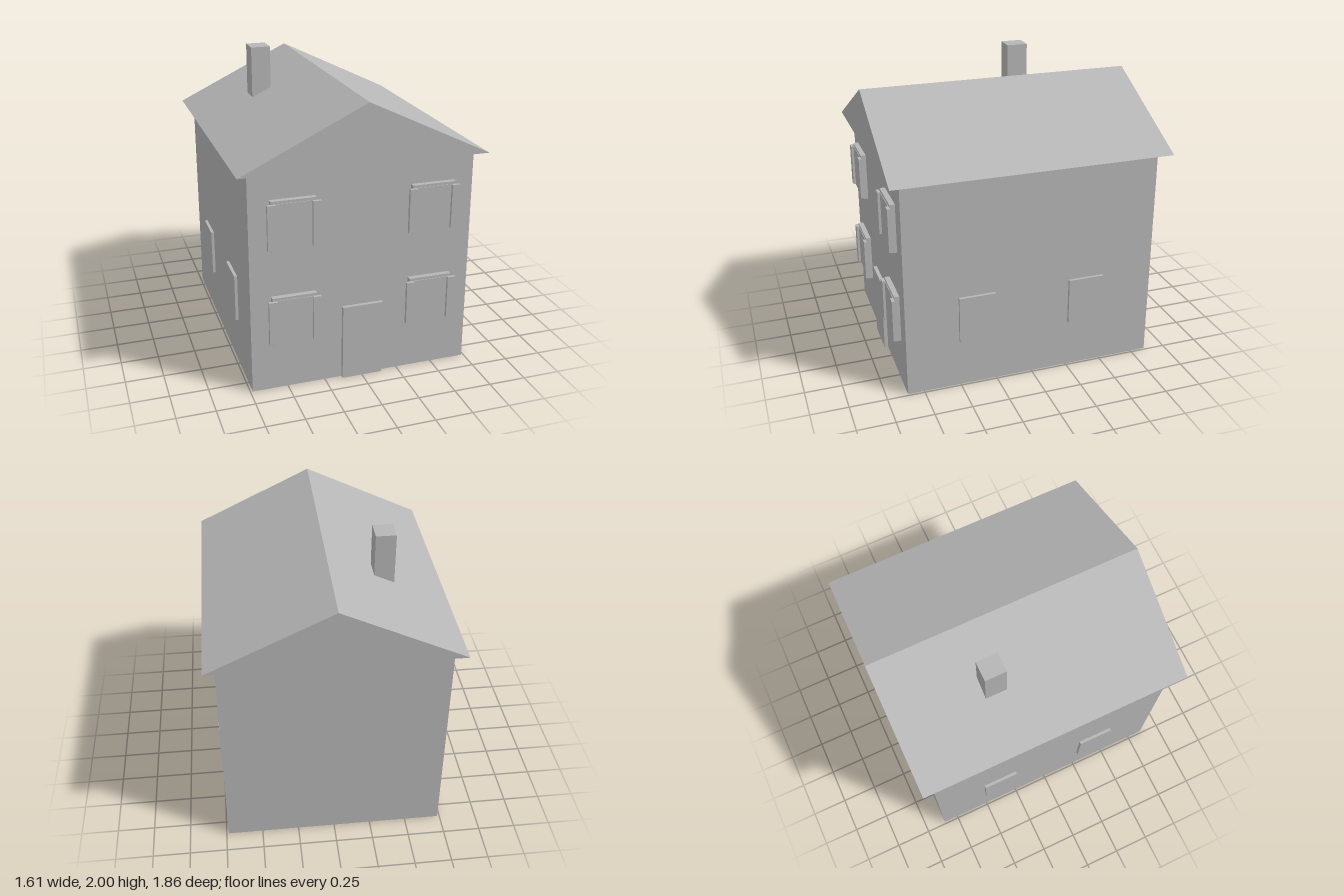
import * as THREE from 'three';

export function createModel() {
  const house = new THREE.Group();
  house.name = 'house';
  const grey = new THREE.MeshStandardMaterial({ color: 0xb6b6b6, side: THREE.DoubleSide });
  grey.name = 'plain grey';

  // Box given by its minimum and maximum corners
  function block(name, [x0, y0, z0], [x1, y1, z1], parent = house) {
    const mesh = new THREE.Mesh(new THREE.BoxGeometry(x1 - x0, y1 - y0, z1 - z0), grey);
    mesh.position.set((x0 + x1) / 2, (y0 + y1) / 2, (z0 + z1) / 2);
    mesh.name = name;
    parent.add(mesh);
  }

  const eave = 1.475, front = 0.86;
  block('walls', [-0.735, 0, -0.855], [0.735, eave, front]);
  block('door', [-0.135, 0, front - 0.02], [0.135, 0.515, 0.885]);
  block('chimney', [-0.437, 1.6, -0.332], [-0.305, 2, -0.187]);

  // Gabled roof shell, open underneath
  const w = 0.807, d = 0.932, ridge = 1.865;
  const a = [-w, eave, d], b = [w, eave, d], c = [0, ridge, d];
  const e = [-w, eave, -d], f = [w, eave, -d], g = [0, ridge, -d];
  const faces = [
    a, b, c, f, e, g, // gables
    b, f, g, b, g, c, // left slope
    e, a, c, e, c, g, // right slope
  ];
  const roofGeometry = new THREE.BufferGeometry();
  roofGeometry.setAttribute('position', new THREE.Float32BufferAttribute(faces.flat(), 3));
  roofGeometry.computeVertexNormals();
  const roof = new THREE.Mesh(roofGeometry, grey);
  roof.name = 'roof';
  house.add(roof);

  // Front windows: frame, pane and a pair of shutters
  for (const x of [-0.458, 0.458]) {
    for (const y of [0.493, 1.133]) {
      const win = new THREE.Group();
      win.name = 'frontWindow';
      win.position.set(x, y, front);
      block('frame', [-0.144, -0.164, -0.02], [0.144, 0.164, 0.035], win);
      block('pane', [-0.116, -0.146, 0.03], [0.116, 0.146, 0.039], win);
      for (const s of [-1, 1]) {
        const edges = [s * 0.116, s * 0.17].sort((p, q) => p - q);
        block('shutter', [edges[0], -0.146, 0.035], [edges[1], 0.146, 0.056], win);
      }
      house.add(win);
    }
  }

  // Side windows
  for (const s of [-1, 1]) {
    for (const z of [-0.378, 0.382]) {
      const x = s * 0.735;
      block('sideWindow', [x - 0.02, 0.333, z - 0.123], [x + 0.02, 0.652, z + 0.123]);
    }
  }
  return house;
}
